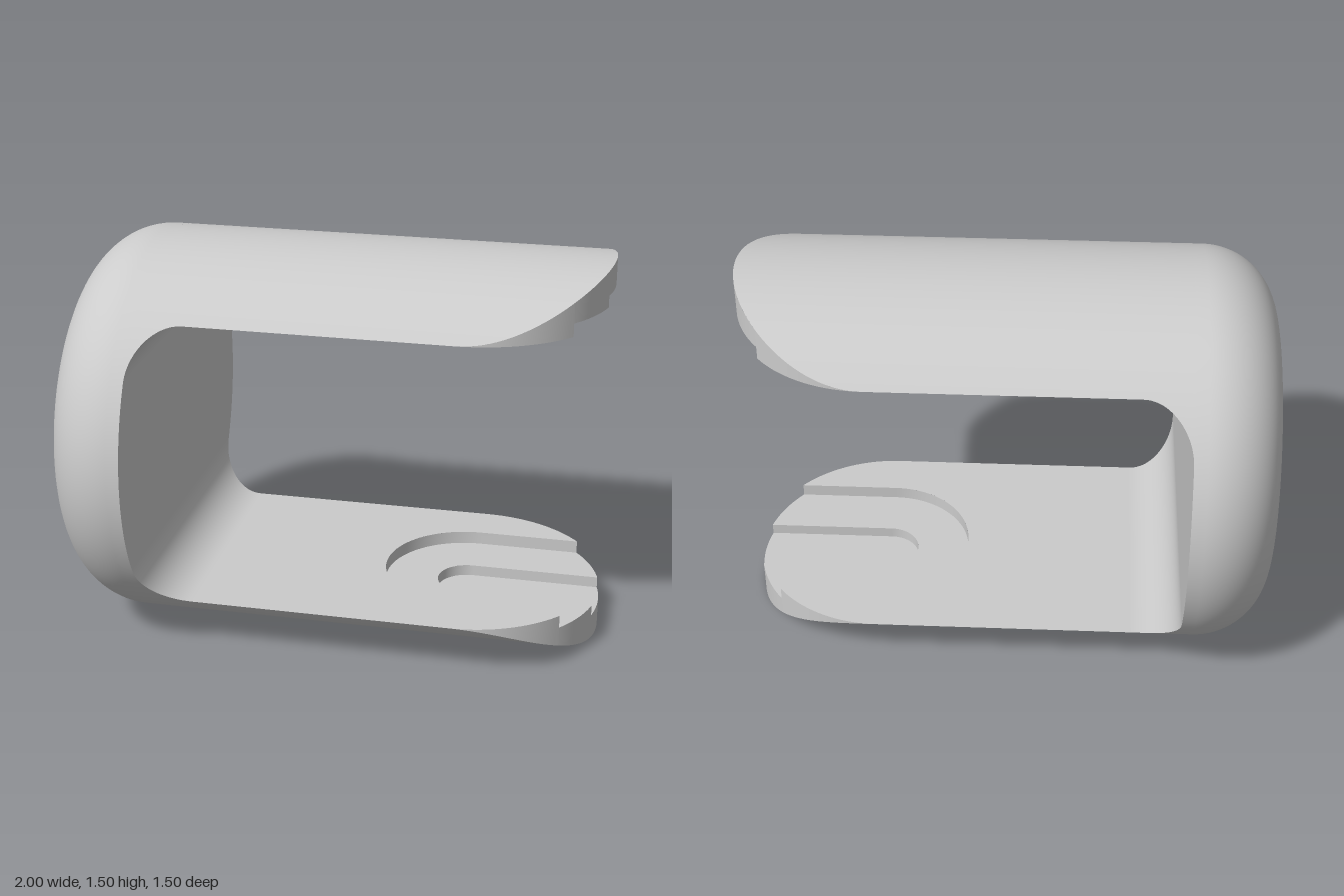
import * as THREE from 'three';

const R = 0.75;                      // barrel radius (axis along x)
const BACK = -0.67;                  // inner back wall
const FLAT = 0.55;                   // height of the jaw faces above the axis
const F = 0.18;                      // inner corner fillet
const FX = BACK + F, FH = FLAT - F;  // fillet centre
const W = Math.sqrt(R * R - FLAT * FLAT); // half width of an arm, also its tip radius
const CX = 1 - W;                    // centre of the rounded tip
const SLOTS = [{ r: 0.325, h: 0.6 }, { r: 0.12, h: 0.643 }]; // stepped U slots
const PI = Math.PI;

const mat = new THREE.MeshStandardMaterial({ color: 0xcccccc });
const chord = (d) => Math.sqrt(Math.max(0, R * R - d * d));
const tipAngle = (r) => Math.asin(Math.min(1, r / W));

// Surface patch f(u, v) -> [x, y, z]; faces point along du x dv
function patch(f, nu, nv) {
  const pos = [], idx = [];
  for (let i = 0; i <= nu; i++) {
    for (let j = 0; j <= nv; j++) {
      pos.push(...f(i / nu, j / nv));
      if (i < nu && j < nv) {
        const a = i * (nv + 1) + j, b = a + nv + 1;
        idx.push(a, b, b + 1, a, b + 1, a + 1);
      }
    }
  }
  const g = new THREE.BufferGeometry();
  g.setAttribute('position', new THREE.Float32BufferAttribute(pos, 3));
  g.setIndex(idx);
  g.computeVertexNormals();
  return g;
}

function add(group, name, geometry) {
  const m = new THREE.Mesh(geometry, mat);
  m.name = name;
  group.add(m);
}

// Flat face running to the rounded tip, U-shaped when rIn > 0
function floorGeometry(rOut, rIn, h, squareBack) {
  const a = tipAngle(rOut), b = tipAngle(rIn), s = new THREE.Shape();
  if (squareBack) {
    s.moveTo(CX, rOut);
    s.lineTo(FX, rOut);
    s.lineTo(FX, -rOut);
    s.lineTo(CX, -rOut);
  } else {
    s.moveTo(CX + W * Math.cos(a), rOut);
    s.absarc(CX, 0, rOut, PI / 2, 1.5 * PI, false);
  }
  s.absarc(CX, 0, W, -a, -b, false);
  if (rIn > 0) s.absarc(CX, 0, rIn, -PI / 2, -1.5 * PI, true);
  s.absarc(CX, 0, W, b, a, false);
  return new THREE.ShapeGeometry(s, 40).rotateX(PI / 2).translate(0, h, 0);
}

// U-shaped wall of a slot between two heights
function slotWall(r, h0, h1) {
  const tip = CX + W * Math.cos(tipAngle(r)), path = [[tip, r]], n = 40;
  for (let i = 0; i <= n; i++) {
    const t = PI / 2 + (PI * i) / n;
    path.push([CX + r * Math.cos(t), r * Math.sin(t)]);
  }
  path.push([tip, -r]);
  const last = path.length - 1;
  return patch((u, v) => {
    const [x, z] = path[Math.round(u * last)];
    return [x, h0 + (h1 - h0) * v, z];
  }, last, 1);
}

function createArm(name) {
  const arm = new THREE.Group();
  arm.name = name;

  // Curved outside up to the rounded tip
  add(arm, 'armOuter', patch((u, v) => {
    const t = (u - 0.5) * PI, z = W * Math.sin(t);
    return [BACK + (CX + W * Math.cos(t) - BACK) * v, chord(z), z];
  }, 64, 4));

  // Barrel sides next to the inner fillet
  for (const s of [1, -1]) {
    add(arm, 'filletSide', patch((u, v) => {
      const p = (PI / 2) * (s > 0 ? 1 - u : u), h = FH + F * Math.sin(p);
      return [BACK + (FX - F * Math.cos(p) - BACK) * v, h, s * chord(h)];
    }, 24, 2));
  }

  // Inner fillet between back wall and jaw face
  add(arm, 'innerFillet', patch((u, v) => {
    const p = (u * PI) / 2, h = FH + F * Math.sin(p);
    return [FX - F * Math.cos(p), h, chord(h) * (2 * v - 1)];
  }, 24, 2));

  // Jaw face and the two stepped slot floors
  const [wide, narrow] = SLOTS;
  add(arm, 'jawFace', floorGeometry(W, wide.r, FLAT, true));
  add(arm, 'wideSlotFloor', floorGeometry(wide.r, narrow.r, wide.h, false));
  add(arm, 'narrowSlotFloor', floorGeometry(narrow.r, 0, narrow.h, false));
  add(arm, 'wideSlotWall', slotWall(wide.r, FLAT, wide.h));
  add(arm, 'narrowSlotWall', slotWall(narrow.r, wide.h, narrow.h));

  // Rounded end wall, stepped where the slots run out
  const a = tipAngle(wide.r), b = tipAngle(narrow.r);
  const breaks = [-PI / 2, -a, -b, b, a, PI / 2];
  [FLAT, wide.h, narrow.h, wide.h, FLAT].forEach((inner, i) => {
    add(arm, 'tipWall', patch((u, v) => {
      const t = breaks[i] + (breaks[i + 1] - breaks[i]) * u, z = W * Math.sin(t);
      const top = chord(z);
      return [CX + W * Math.cos(t), top + (inner - top) * v, z];
    }, 20, 1));
  });
  return arm;
}

export function createModel() {
  const model = new THREE.Group();
  model.name = 'clampBody';
  const body = new THREE.Group();
  body.name = 'body';
  body.position.y = R;
  model.add(body);

  // Rounded back end with a shallow round recess
  const turned = (name, pts) => add(body, name,
    new THREE.LatheGeometry(pts.map(([r, x]) => new THREE.Vector2(r, x)), 128).rotateZ(-PI / 2));
  const hole = 0.325, depth = 0.04, round = 0.28;
  turned('recessFloor', [[0, -1 + depth], [hole, -1 + depth]]);
  turned('recessWall', [[hole, -1 + depth], [hole, -1]]);
  const dome = [[hole, -1]];
  for (let i = 0; i <= 20; i++) {
    const t = (PI / 2) * (i / 20);
    dome.push([R - round + round * Math.sin(t), -1 + round - round * Math.cos(t)]);
  }
  dome.push([R, BACK]);
  turned('backShell', dome);

  // Inner back wall
  add(body, 'backWall', patch((u, v) => {
    const h = FH * (2 * u - 1);
    return [BACK, h, chord(h) * (2 * v - 1)];
  }, 32, 2));

  // Two matching arms
  const lower = createArm('lowerArm');
  lower.rotation.x = PI;
  body.add(createArm('upperArm'), lower);
  return model;
}
